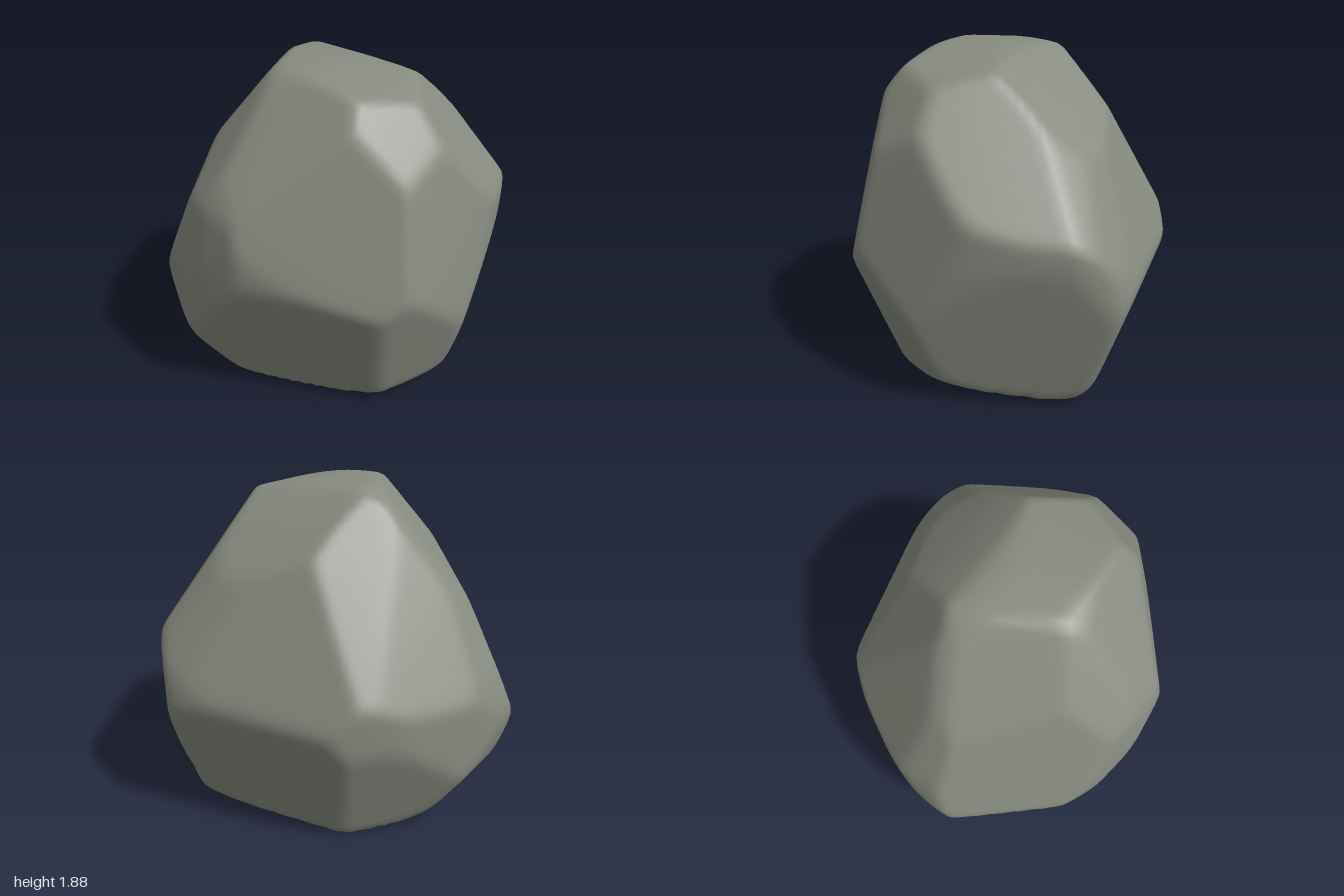
import * as THREE from 'three';
import { mergeVertices } from 'three/addons/utils/BufferGeometryUtils.js';

const CENTRE = new THREE.Vector3(0, 0.9, 0);
const SHARPNESS = 110; // higher gives crisper edges between facets
const OFFSET = 1.012;  // makes up for what the softening wears away

// Outlines of the boulder, each a closed convex loop
const frontOutline = [[-0.4, 0], [-0.63, 0.04], [-0.75, 0.11], [-0.94, 0.37], [-1, 0.6], [-0.94, 0.83],
  [-0.69, 1.33], [-0.45, 1.66], [-0.35, 1.78], [-0.2, 1.86], [0.1, 1.87], [0.38, 1.83], [0.55, 1.79],
  [0.73, 1.72], [0.88, 1.46], [0.99, 0.55], [0.96, 0.4], [0.84, 0.15], [0.72, 0.08], [0.38, 0.01]];
const sideOutline = [[-0.5, 0], [-0.7, 0.06], [-0.79, 0.16], [-0.91, 0.45], [-0.97, 0.72], [-0.93, 0.92],
  [-0.65, 1.41], [-0.33, 1.7], [-0.13, 1.84], [0, 1.87], [0.35, 1.87], [0.42, 1.84], [0.6, 1.7],
  [0.75, 1.53], [0.91, 1.21], [0.98, 0.78], [0.95, 0.45], [0.92, 0.35], [0.75, 0.1], [0.65, 0.06], [0.4, 0.03]];
const topOutline = [[0.4, -0.98], [0.47, -0.97], [0.67, -0.8], [0.84, -0.5], [0.92, -0.3], [1, 0], [0.97, 0.3],
  [0.89, 0.52], [0.8, 0.6], [0.24, 0.93], [-0.03, 0.97], [-0.3, 0.92], [-0.54, 0.83], [-0.65, 0.75],
  [-0.98, 0.36], [-1, 0.2], [-0.97, 0], [-0.92, -0.15], [-0.74, -0.5], [-0.58, -0.69], [-0.48, -0.77]];

// Broad chipped facets: outward normal, point on the facet
const facets = [
  [[-0.71, 0.39, 0.59], [-0.7, 1.27, 0.22]],   // front right
  [[-0.66, 0.64, 0.4], [-0.45, 1.51, 0.25]],   // right shoulder
  [[-0.35, 0.6, 0.72], [-0.3, 1.45, 0.61]],    // upper front, right part
  [[-0.1, 0.61, 0.79], [0, 1.53, 0.7]],        // upper front
  [[0.2, 0.62, 0.76], [0.53, 1.53, 0.57]],     // upper front, left part
  [[-0.25, 0.17, 0.95], [-0.2, 0.9, 0.92]],    // middle front
  [[0.62, 0.25, 0.74], [0.51, 1.2, 0.657]],    // front left
  [[0.51, -0.36, 0.86], [0.52, 0.87, 0.765]],  // undercut front left
  [[0.88, -0.3, 0.35], [0.94, 0.5, 0.09]],     // undercut left side
  [[0.76, 0.58, 0.28], [0.89, 1.44, 0.08]],    // left shoulder
  [[0.68, 0.58, -0.45], [0.62, 1.37, -0.5]],   // rear left shoulder
  [[0.25, 0.6, -0.76], [0.5, 1.3, -0.68]],     // rear left crest
  [[0.97, 0.2, 0.08], [0.91, 1.1, 0.1]],       // left side
  [[0.85, -0.24, -0.47], [0.67, 0.95, -0.8]],  // undercut rear left
  [[-0.25, 0.39, -0.89], [-0.2, 1.53, -0.5]],  // back
  [[-0.62, 0.53, -0.58], [-0.37, 1.53, -0.3]], // upper back
  [[-0.8, 0.45, -0.38], [-0.85, 0.85, -0.2]],  // right side
  [[-0.62, -0.48, 0.62], [-0.5, 0.35, 0.65]],  // undercut front right
  [[-0.2, -0.31, -0.93], [-0.1, 0.72, -0.86]], // undercut back
  [[-0.71, -0.34, -0.62], [-0.65, 0.6, -0.6]], // undercut rear right
];

// Plane through a point, stored as normal / distance from the centre
function makePlane(normal, point) {
  const n = normal.clone().normalize();
  const h = n.dot(point.clone().sub(CENTRE)) * OFFSET;
  return n.multiplyScalar(1 / h);
}

// One plane for each edge of an outline
function outlinePlanes(loop, place) {
  return loop.map(([a, b], i) => {
    const [c, d] = loop[(i + 1) % loop.length];
    const p = place(a, b);
    const n = place(d - b, a - c);
    if (n.dot(p.clone().sub(CENTRE)) < 0) n.negate();
    return makePlane(n, p);
  });
}

function boulderGeometry() {
  const planes = [
    ...outlinePlanes(frontOutline, (a, b) => new THREE.Vector3(a, b, 0)),
    ...outlinePlanes(sideOutline, (a, b) => new THREE.Vector3(0, b, a)),
    ...outlinePlanes(topOutline, (a, b) => new THREE.Vector3(a, 0, b)),
    ...facets.map(([n, p]) => makePlane(new THREE.Vector3(...n), new THREE.Vector3(...p))),
  ];

  // Shrink a fine sphere onto the planes, softening where they meet
  let geo = new THREE.IcosahedronGeometry(1, 30);
  geo.deleteAttribute('normal');
  geo.deleteAttribute('uv');
  geo = mergeVertices(geo, 1e-5);
  const pos = geo.attributes.position;
  const d = new THREE.Vector3();
  for (let i = 0; i < pos.count; i++) {
    d.fromBufferAttribute(pos, i).normalize();
    let sum = 0;
    for (const q of planes) sum += Math.pow(Math.max(0, q.dot(d)), SHARPNESS);
    d.multiplyScalar(Math.pow(sum, -1 / SHARPNESS));
    pos.setXYZ(i, d.x, d.y, d.z);
  }

  // Stand it on the ground, centred
  geo.computeBoundingBox();
  const mid = geo.boundingBox.getCenter(new THREE.Vector3());
  geo.translate(-mid.x, -geo.boundingBox.min.y, -mid.z);
  geo.computeVertexNormals();
  return geo;
}

export function createModel() {
  const stone = new THREE.MeshStandardMaterial({ color: 0x888b80 });
  stone.name = 'grey stone';
  const boulder = new THREE.Mesh(boulderGeometry(), stone);
  boulder.name = 'boulder';
  const group = new THREE.Group();
  group.name = 'rock';
  group.add(boulder);
  return group;
}
